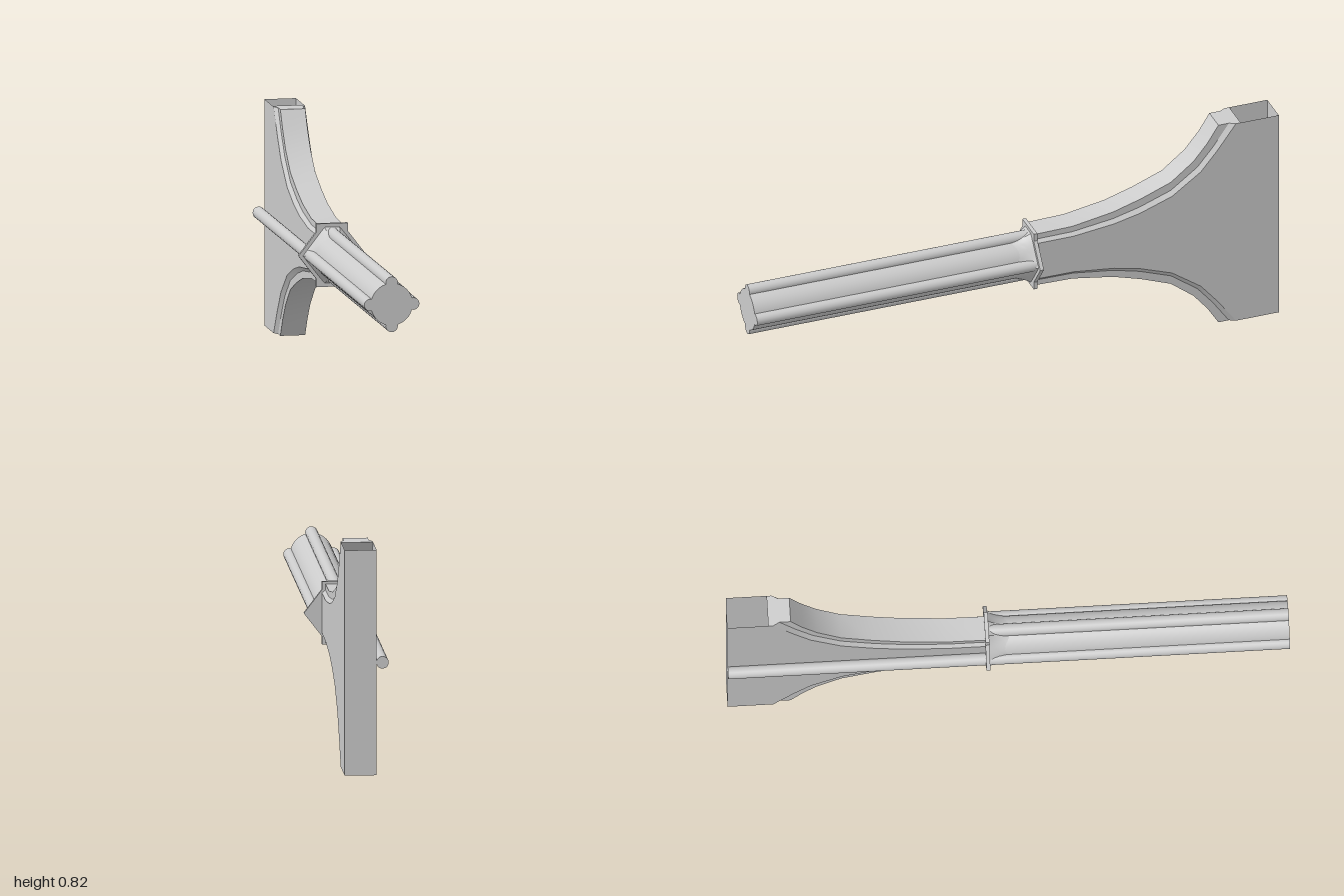
import * as THREE from 'three';
import { toCreasedNormals } from 'three/addons/utils/BufferGeometryUtils.js';

const AXIS_Y = 0.408; // height of the column's axis
const FRONT = 1, BACK = -1, COLLAR_Z = -0.07;
const HALF = 0.057; // half thickness of the fan

const grey = new THREE.MeshStandardMaterial({ color: 0xcccccc, side: THREE.DoubleSide });

function add(parent, name, geometry) {
  const mesh = new THREE.Mesh(geometry, grey);
  mesh.name = name;
  parent.add(mesh);
  return mesh;
}

// Skin closed rings of equal length; capQuads closes the last ring
function loft(rings, crease, capQuads = []) {
  const n = rings[0].length, index = [];
  for (let i = 0; i < rings.length - 1; i++) {
    for (let j = 0; j < n; j++) {
      const k = (j + 1) % n;
      const a = i * n + j, b = i * n + k, c = b + n, d = a + n;
      index.push(a, b, c, a, c, d);
    }
  }
  const last = (rings.length - 1) * n;
  for (const [a, b, c, d] of capQuads) {
    index.push(last + a, last + b, last + c, last + a, last + c, last + d);
  }
  const geometry = new THREE.BufferGeometry();
  geometry.setAttribute('position', new THREE.Float32BufferAttribute(rings.flat(2), 3));
  geometry.setIndex(index);
  return toCreasedNormals(geometry, crease);
}

// Round bar along z
function bar(radius, z0, z1, sides) {
  return new THREE.CylinderGeometry(radius, radius, z0 - z1, sides)
    .rotateX(Math.PI / 2).translate(0, 0, (z0 + z1) / 2);
}

// Fan outline as [z, height above axis]: outer lip and inner edge of the rim
const outer = [[-0.07, 0.105], [-0.22, 0.108], [-0.374, 0.134], [-0.48, 0.166],
  [-0.594, 0.21], [-0.68, 0.278], [-0.733, 0.342], [-0.775, 0.408]];
const inner = [[-0.07, 0.064], [-0.22, 0.064], [-0.374, 0.08], [-0.47, 0.1],
  [-0.594, 0.144], [-0.71, 0.225], [-0.775, 0.302], [-0.855, 0.408]];

// Moulded rim: [x, depth from lip (0) to inner edge (1)]
const rimSection = [[-0.045, 0], [0.045, 0], [0.045, 0.5], [HALF, 0.78],
  [HALF, 1], [-HALF, 1], [-HALF, 0.78], [-0.045, 0.5]];

function rimGeometry() {
  const rings = outer.map(([z, y], i) => rimSection.map(([x, t]) => [
    x,
    THREE.MathUtils.lerp(y, inner[i][1], t),
    THREE.MathUtils.lerp(z, inner[i][0], t),
  ]));
  return loft(rings, 0.4, [[0, 1, 2, 7], [7, 2, 3, 6], [6, 3, 4, 5]]);
}

function wallGeometry() {
  const upper = inner.map(([z, y]) => new THREE.Vector2(-z, y));
  upper.push(new THREE.Vector2(-BACK, AXIS_Y));
  const lower = upper.map((p) => new THREE.Vector2(p.x, -p.y)).reverse();
  return new THREE.ShapeGeometry(new THREE.Shape([...upper, ...lower])).rotateY(Math.PI / 2);
}

// Capital flaring from the round core to a clipped diamond
function capitalGeometry() {
  const rings = [], steps = 8, sides = 48;
  for (let i = 0; i <= steps; i++) {
    const s = i / steps, ring = [];
    for (let j = 0; j < sides; j++) {
      const angle = (-j / sides) * Math.PI * 2;
      const c = Math.cos(angle), n = Math.sin(angle);
      const diamond = Math.min(
        1 / (Math.abs(c) / 0.107 + Math.abs(n) / 0.138),
        0.102 / Math.max(Math.abs(n), 0.01));
      const r = THREE.MathUtils.lerp(0.074, diamond, s * s);
      ring.push([r * c, r * n, THREE.MathUtils.lerp(0.03, COLLAR_Z, s)]);
    }
    rings.push(ring);
  }
  return loft(rings, 0.5);
}

// Thin collar: a square plate with a point on each side
function collarGeometry() {
  const quarter = [[0.122, 0], [HALF, 0.085], [HALF, 0.114]];
  const points = [
    ...quarter,
    ...quarter.slice().reverse().map(([x, y]) => [-x, y]),
    ...quarter.slice(1).map(([x, y]) => [-x, -y]),
    ...quarter.slice(1).reverse().map(([x, y]) => [x, -y]),
  ].map(([x, y]) => new THREE.Vector2(x, y));
  return new THREE.ExtrudeGeometry(new THREE.Shape(points), { depth: 0.014, bevelEnabled: false })
    .translate(0, 0, COLLAR_Z - 0.012);
}

export function createModel() {
  const model = new THREE.Group();
  model.name = 'fanColumn';
  const column = new THREE.Group();
  column.name = 'column';
  column.position.y = AXIS_Y;
  model.add(column);

  // Shaft with four attached rods; the one on the right runs the full length
  add(column, 'shaftCore', bar(0.076, FRONT, COLLAR_Z, 40));
  for (let i = 0; i < 4; i++) {
    const angle = (i * Math.PI) / 2;
    const rod = add(column, i === 2 ? 'longRod' : 'shaftRod',
      bar(0.022, FRONT, i === 2 ? BACK : COLLAR_Z, 20));
    rod.position.set(0.078 * Math.cos(angle), 0.078 * Math.sin(angle), 0);
  }

  add(column, 'capital', capitalGeometry());
  add(column, 'collar', collarGeometry());

  // Fan: curved rims above and below, side walls, back plate
  const rim = rimGeometry();
  add(column, 'upperRim', rim);
  add(column, 'lowerRim', rim).rotation.z = Math.PI;
  const wall = wallGeometry();
  add(column, 'leftWall', wall).position.x = HALF;
  add(column, 'rightWall', wall).rotation.z = Math.PI;
  column.getObjectByName('rightWall').position.x = -HALF;
  add(column, 'backPlate', new THREE.PlaneGeometry(HALF * 2, AXIS_Y * 2).rotateY(Math.PI))
    .position.z = BACK;

  return model;
}
